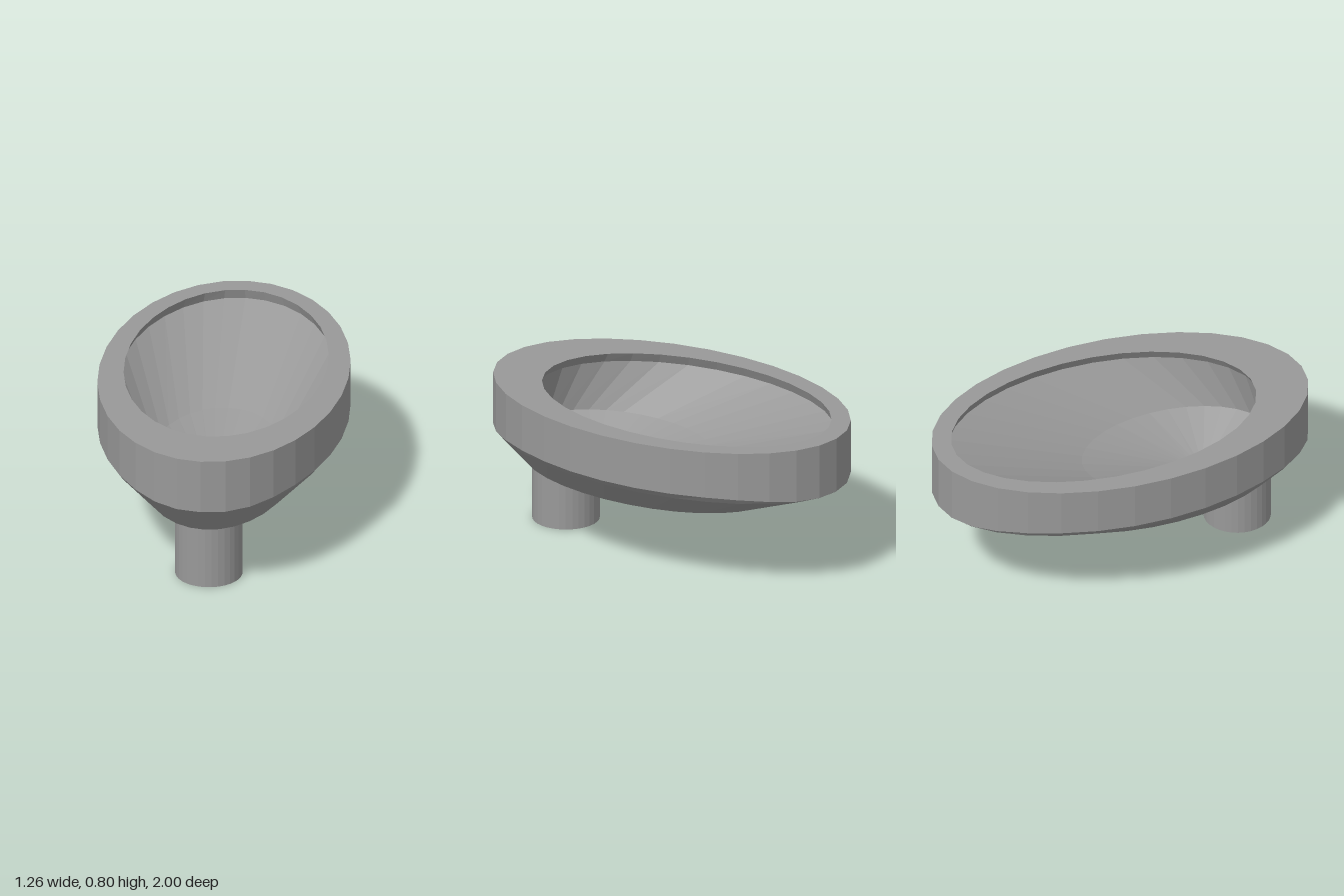
import * as THREE from 'three';

const SEGMENTS = 32;
const material = new THREE.MeshStandardMaterial({ color: 0x999999, flatShading: true });

// Lofts a surface through ellipses [centreZ, radiusX, radiusZ, y, extra height at the sides]
function loft(name, rings) {
  const positions = [], index = [], row = SEGMENTS + 1;
  rings.forEach(([cz, rx, rz, y, rise = 0], i) => {
    for (let j = 0; j <= SEGMENTS; j++) {
      const a = (j / SEGMENTS) * Math.PI * 2;
      const lift = rise * THREE.MathUtils.smoothstep(Math.abs(Math.sin(a)), 0.2, 0.9);
      positions.push(rx * Math.sin(a), y + lift, cz + rz * Math.cos(a));
      if (i > 0 && j < SEGMENTS) {
        const p = (i - 1) * row + j, q = p + row;
        index.push(p, p + 1, q + 1, p, q + 1, q);
      }
    }
  });
  const geometry = new THREE.BufferGeometry();
  geometry.setAttribute('position', new THREE.Float32BufferAttribute(positions, 3));
  geometry.setIndex(index);
  geometry.computeVertexNormals();
  const mesh = new THREE.Mesh(geometry, material);
  mesh.name = name;
  return mesh;
}

export function createModel() {
  const model = new THREE.Group();
  model.name = 'basin';

  // Outer shell: flat underside, lopsided taper, narrow side chamfer, upright rim and flat top
  model.add(loft('outerShell', [
    [0.145, 0, 0, 0.343],
    [0.145, 0.39, 0.705, 0.343],
    [0, 0.6, 0.998, 0.516, 0.01],
    [0, 0.63, 1, 0.518, 0.041],
    [0, 0.63, 1, 0.803],
    [-0.09, 0.51, 0.81, 0.803],
  ]));

  // Bowl: undercut lip, sloping wall, funnel floor and drain
  model.add(loft('bowl', [
    [-0.09, 0.51, 0.81, 0.803],
    [-0.08, 0.535, 0.835, 0.75],
    [0.31, 0.33, 0.5, 0.5],
    [0.43, 0.055, 0.09, 0.36],
    [0.43, 0, 0, 0.36],
  ]));

  // Pedestal under the front half
  const pedestal = new THREE.Mesh(new THREE.CylinderGeometry(0.17, 0.17, 0.343, SEGMENTS), material);
  pedestal.name = 'pedestal';
  pedestal.position.set(0, 0.1715, 0.645);
  model.add(pedestal);

  // Round-ended pipe running back from the pedestal
  const pipe = new THREE.Group();
  pipe.name = 'pipe';
  pipe.position.set(0, 0.263, 0.222);
  pipe.rotation.x = -Math.PI / 2;
  const tube = new THREE.Mesh(new THREE.CylinderGeometry(0.076, 0.076, 0.35, SEGMENTS, 1, true), material);
  tube.name = 'pipeTube';
  tube.position.y = -0.175;
  const end = new THREE.Mesh(
    new THREE.SphereGeometry(0.076, SEGMENTS, 8, 0, Math.PI * 2, 0, Math.PI / 2), material);
  end.name = 'pipeEnd';
  pipe.add(tube, end);
  model.add(pipe);

  return model;
}
